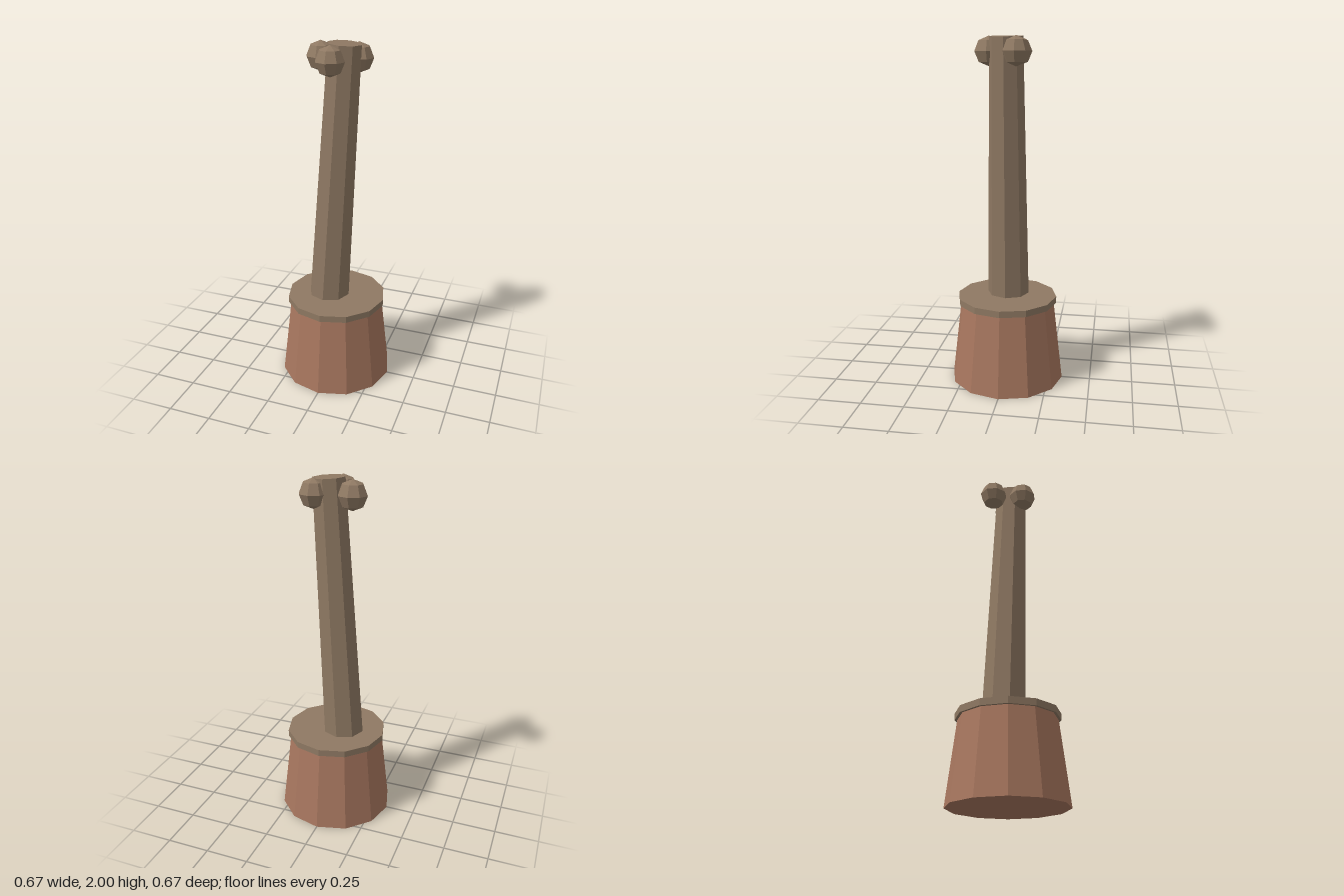
import * as THREE from 'three';

export function createModel() {
  const model = new THREE.Group();
  const material = (name, color) => {
    const m = new THREE.MeshStandardMaterial({ color, flatShading: true });
    m.name = name;
    return m;
  };
  const clay = material('clay', 0xa8775f);
  const wood = material('wood', 0x8f7963);

  const add = (name, geometry, mat, x, y, z) => {
    const mesh = new THREE.Mesh(geometry, mat);
    mesh.name = name;
    mesh.position.set(x, y, z);
    model.add(mesh);
    return mesh;
  };

  // Twelve-sided tapered base with an overhanging disc on top
  add('base', new THREE.CylinderGeometry(0.277, 0.333, 0.474, 12), clay, 0, 0.237, 0);
  add('baseTop', new THREE.CylinderGeometry(0.292, 0.292, 0.038, 12), wood, 0, 0.491, 0);

  // Eight-sided tapered post, leaning towards +x and sunk slightly into the disc
  const post = add('post', new THREE.CylinderGeometry(0.094, 0.122, 1.5, 8), wood, -0.001, 1.245, 0);
  post.rotation.z = -0.06;

  // Faceted knobs around the top of the post
  const knob = new THREE.SphereGeometry(0.082, 8, 4);
  [[-0.105, -0.043], [0, 0.103], [0.104, -0.064]].forEach(([x, z], i) => {
    add(`knob${i + 1}`, knob, wood, x, 1.915, z);
  });

  return model;
}
